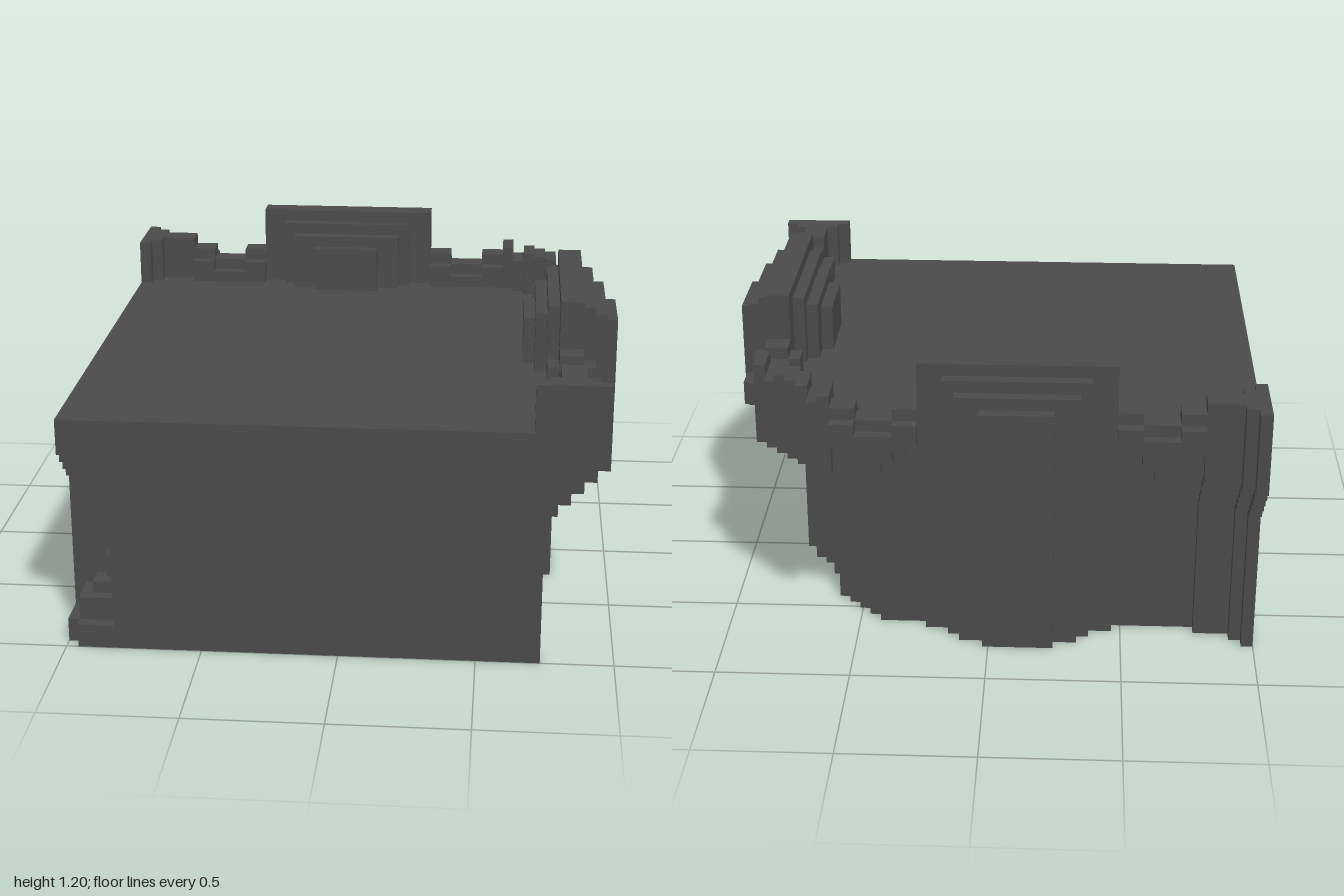
import * as THREE from 'three';
import { mergeGeometries } from 'three/addons/utils/BufferGeometryUtils.js';

// Block grid: i runs from the left cut (+x), j from the front cut (-z), k upward
const U = 2 / 45;
const stone = new THREE.MeshStandardMaterial({ color: 0x4a4a4a });
stone.name = 'darkStone';

// Outer wall edge along one side: [end of run, depth of wall]
const RUNS = [[1, 44], [2, 43], [5, 42], [12, 41], [14, 42], [15, 43], [17, 44], [23, 45],
  [25, 44], [26, 43], [28, 42], [35, 41], [45, 45]];

function block(i0, i1, j0, j1, k0, k1) {
  const g = new THREE.BoxGeometry((i1 - i0) * U, (k1 - k0) * U, (j1 - j0) * U);
  g.translate(-1 + (i0 + i1) / 2 * U, (k0 + k1) / 2 * U, 1 - (j0 + j1) / 2 * U);
  return g;
}

// Same block on the back side and on the right side
function pair(i0, i1, j0, j1, k0, k1) {
  return [block(i0, i1, j0, j1, k0, k1), block(j0, j1, i0, i1, k0, k1)];
}

function addPart(group, name, geometries) {
  const mesh = new THREE.Mesh(mergeGeometries(geometries), stone);
  mesh.name = name;
  group.add(mesh);
}

// One level of the tower: stepped outline drawn in by inset, square notch at the inner corner
function tier(k0, k1, inset, notch) {
  const half = [];
  for (let i = 0; i < 45; i++) {
    const edge = Math.min(RUNS.find(r => i < r[0])[1] - inset, 77 - 2 * inset - i);
    if (edge <= i) break;
    half.push([i, edge], [i + 1, edge]);
  }
  const mirrored = half.map(([a, b]) => [b, a]).reverse();
  const corner = notch ? [[notch, 0], [notch, notch], [0, notch]] : [[0, 0]];
  const points = [...half, ...mirrored, ...corner]
    .filter((p, n, all) => !n || p[0] !== all[n - 1][0] || p[1] !== all[n - 1][1])
    .map(([a, b]) => new THREE.Vector2(-1 + a * U, -1 + b * U));
  const g = new THREE.ExtrudeGeometry(new THREE.Shape(points),
    { depth: (k1 - k0) * U, bevelEnabled: false });
  g.rotateX(-Math.PI / 2);
  g.translate(0, k0 * U, 0);
  return g;
}

export function createModel() {
  const tower = new THREE.Group();
  tower.name = 'towerQuarter';

  addPart(tower, 'shaft', [tier(0, 2, 5, 1), tier(2, 13, 5, 4)]);
  addPart(tower, 'flare', [tier(13, 14, 4, 4), tier(14, 15, 3, 3), tier(15, 16, 2, 2), tier(16, 17, 1, 1)]);
  addPart(tower, 'platform', [tier(17, 20, 0, 0)]);

  // Steps inside the corner notch
  addPart(tower, 'notchSteps', [block(1, 4, 1, 4, 2, 4), block(2, 4, 2, 4, 4, 5), block(3, 4, 3, 4, 5, 7)]);

  // Large merlons: nested slabs that step down inward and outward
  const merlons = [...pair(12, 28, 40, 42, 20, 27)];
  [[14, 26], [15, 25], [17, 23]].forEach(([a, b], n) => {
    merlons.push(...pair(a, b, 39 - n, 40 - n, 20, 26 - n), ...pair(a, b, 42 + n, 43 + n, 20, 26 - n));
  });
  addPart(tower, 'largeMerlons', merlons);

  // Half merlons at the cut faces
  addPart(tower, 'endMerlons', [
    ...pair(0, 1, 38, 44, 20, 24), ...pair(1, 2, 39, 43, 20, 24), ...pair(2, 5, 40, 42, 20, 24)]);

  // Low parapet blocks with V-shaped corbels hanging on the outside
  const low = [];
  for (const start of [5, 28]) {
    for (let n = 0; n < 7; n++) {
      const a = start + n;
      const d = Math.abs(n - 3);
      const top = d < 2 ? 22 : 23;
      low.push(...pair(a, a + 1, 40, 41, 20, top),
        ...pair(a, a + 1, 41, 42, 17 + d, top),
        ...pair(a, a + 1, 39, 40, 20, top - 1),
        ...pair(a, a + 1, 42, 43, [19, 19, 20, 20][d], top - 1));
    }
  }
  addPart(tower, 'lowParapets', low);

  // Diagonal corner wall with an uneven top
  const corner = [];
  [24, 23, 24, 24, 24, 23, 24].forEach((top, n) => {
    const a = 35 + n;
    corner.push(block(a, a + 1, 74 - a, 77 - a, 20, top));
  });
  addPart(tower, 'cornerMerlon', corner);

  return tower;
}
